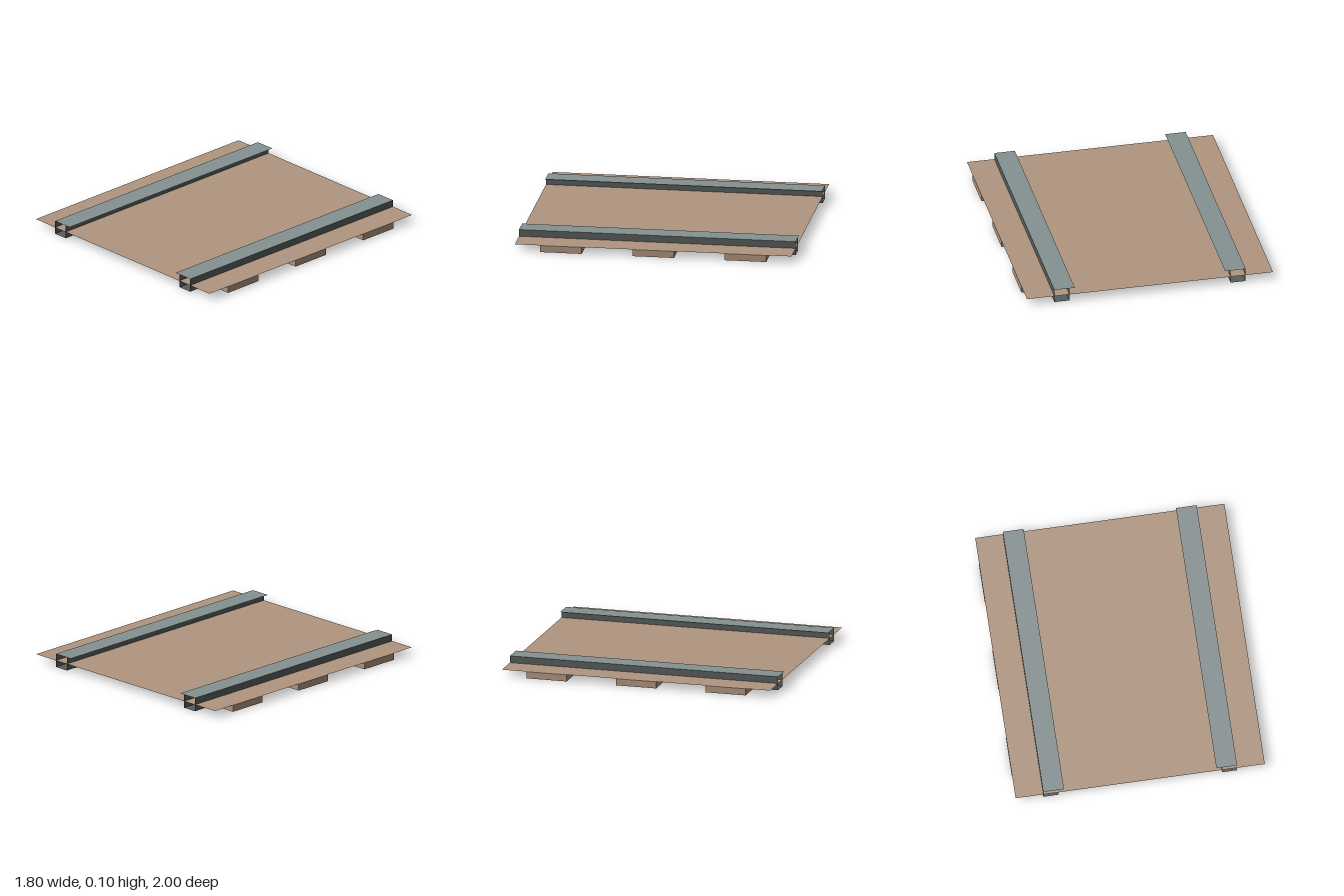
import * as THREE from 'three';

const material = (name, color) => {
  const m = new THREE.MeshStandardMaterial({ color, side: THREE.DoubleSide });
  m.name = name;
  return m;
};

// Flat strip running the full length in z, between two points (x, y) of a cross-section
function strip(name, [x0, y0], [x1, y1], mat) {
  const g = new THREE.BufferGeometry();
  g.setAttribute('position', new THREE.Float32BufferAttribute(
    [x0, y0, 1, x1, y1, 1, x1, y1, -1, x0, y0, -1], 3));
  g.setIndex([0, 1, 2, 0, 2, 3]);
  g.computeVertexNormals();
  const mesh = new THREE.Mesh(g, mat);
  mesh.name = name;
  return mesh;
}

export function createModel() {
  const wood = material('wood brown', 0xb09680);
  const steel = material('steel grey', 0x869191);
  const darkSteel = material('dark steel', 0x575e5c);
  const model = new THREE.Group();
  model.name = 'trackSection';

  // Thin deck over the sleepers
  model.add(strip('deck', [-0.9, 0.05], [0.9, 0.05], wood));

  // Three sleepers across the track
  for (const z of [-0.667, 0, 0.667]) {
    const sleeper = new THREE.Mesh(new THREE.BoxGeometry(1.8, 0.049, 0.3), wood);
    sleeper.name = 'sleeper';
    sleeper.position.set(0, 0.0245, z);
    model.add(sleeper);
  }

  // Open-ended hollow rails whose tops overhang on the inner side
  const bottom = 0.001, top = 0.1, outer = 0.7, inner = 0.59, lip = 0.55;
  for (const side of [-1, 1]) {
    const rail = new THREE.Group();
    rail.name = side > 0 ? 'leftRail' : 'rightRail';
    const add = (name, a, b, mat) => {
      const p = [side * a[0], a[1]], q = [side * b[0], b[1]];
      // Mirrored strips swap ends so they keep facing outward
      rail.add(side > 0 ? strip(name, p, q, mat) : strip(name, q, p, mat));
    };
    add('railTop', [lip, top], [outer, top], steel);
    add('outerWall', [outer, top], [outer, bottom], darkSteel);
    add('railBase', [outer, bottom], [inner, bottom], darkSteel);
    add('innerWall', [inner, bottom], [inner, top], darkSteel);
    model.add(rail);
  }
  return model;
}
